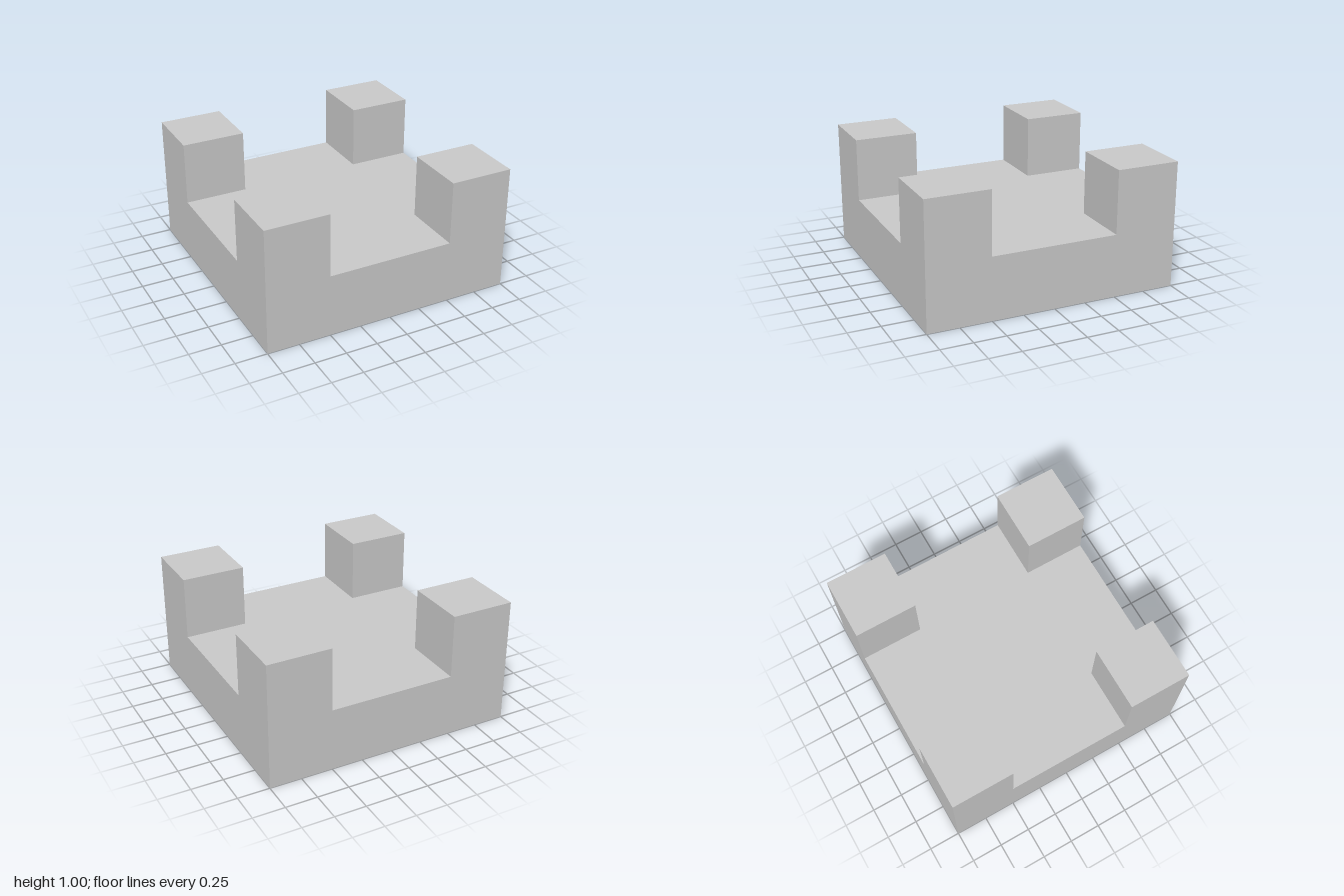
import * as THREE from 'three';

export function createModel() {
  const model = new THREE.Group();
  model.name = 'cornerPostBlock';
  const material = new THREE.MeshStandardMaterial({ color: 0xcccccc, flatShading: true });

  function addBox(name, width, height, depth, x, y, z) {
    const mesh = new THREE.Mesh(new THREE.BoxGeometry(width, height, depth), material);
    mesh.name = name;
    mesh.position.set(x, y, z);
    model.add(mesh);
  }

  // Square slab
  addBox('base', 2, 0.5, 2, 0, 0.25, 0);

  // One cube on each corner, flush with the slab's sides
  for (const [side, x] of [['Left', 0.75], ['Right', -0.75]]) {
    for (const [end, z] of [['front', 0.75], ['back', -0.75]]) {
      addBox(`${end}${side}Post`, 0.5, 0.5, 0.5, x, 0.75, z);
    }
  }

  return model;
}
